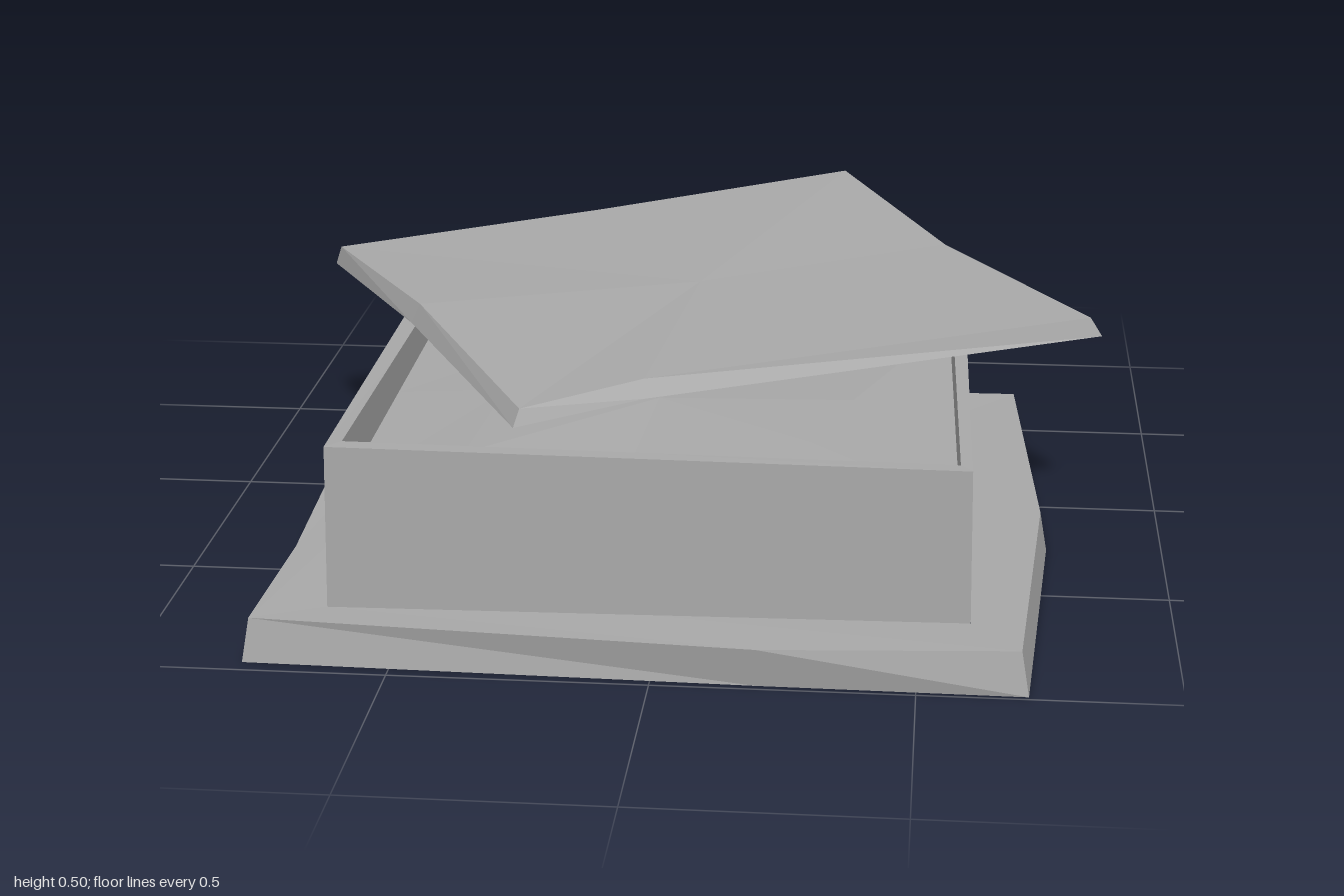
import * as THREE from 'three';

// Rings are lists of [x, y, z], running back-left, back-right, front-right, front-left.
function toMesh(name, triangles, material) {
  const geometry = new THREE.BufferGeometry();
  geometry.setAttribute('position', new THREE.Float32BufferAttribute(triangles.flat(), 3));
  geometry.computeVertexNormals();
  const mesh = new THREE.Mesh(geometry, material);
  mesh.name = name;
  return mesh;
}

// Faces joining a ring to the next one (upwards or inwards)
function strip(a, b) {
  const out = [];
  a.forEach((p, i) => {
    const j = (i + 1) % a.length;
    out.push(p, b[i], b[j], p, b[j], a[j]);
  });
  return out;
}

// Fan from a ring to a centre point, facing up
function fan(ring, centre) {
  const out = [];
  ring.forEach((p, i) => out.push(centre, ring[(i + 1) % ring.length], p));
  return out;
}

const atHeight = (ring, y) => ring.map(([x, , z]) => [x, y, z]);

// Adds the middle of every side
const withMiddles = (ring) => ring.flatMap((p, i) => {
  const q = ring[(i + 1) % ring.length];
  return [p, p.map((v, k) => (v + q[k]) / 2)];
});

export function createModel() {
  const stone = new THREE.MeshStandardMaterial({ color: 0xa8a8a8, flatShading: true, side: THREE.DoubleSide });
  stone.name = 'grey stone';
  const group = new THREE.Group();
  group.name = 'stoneChest';

  // Box walls, slightly uneven along the rim
  const outerTop = withMiddles([[-0.65, 0.38, -0.36], [0.575, 0.40, -0.37], [0.595, 0.388, 0.84], [-0.63, 0.408, 0.87]]);
  const innerTop = withMiddles([[-0.61, 0.38, -0.325], [0.545, 0.40, -0.335], [0.572, 0.388, 0.808], [-0.602, 0.408, 0.835]]);
  const outerBottom = atHeight(outerTop, 0.07).map(([x, y, z]) => [x * 1.008, y, z * 1.008]);
  const innerBottom = atHeight(innerTop, 0.07);
  group.add(toMesh('boxWalls', [
    ...strip(outerBottom, outerTop),
    ...strip(outerTop, innerTop),
    ...strip(innerTop, innerBottom),
    ...strip(innerBottom, outerBottom),
  ], stone));

  // Hollow plinth with bowed sides around the foot of the box
  const plinthBottom = [
    [-0.83, 0, -0.44], [-0.1, 0, -0.52], [0.71, 0, -0.53], [0.76, 0, 0.25],
    [0.71, 0, 0.99], [0.2, 0, 0.985], [-0.785, 0, 0.965], [-0.79, 0, 0.57],
  ];
  const plinthTop = [
    [-0.805, 0.086, -0.425], [-0.1, 0.084, -0.5], [0.7, 0.086, -0.51], [0.745, 0.084, 0.25],
    [0.695, 0.086, 0.975], [0.2, 0.08, 1.0], [-0.772, 0.086, 0.95], [-0.765, 0.082, 0.57],
  ];
  group.add(toMesh('plinth', [
    ...strip(plinthBottom, plinthTop),
    ...strip(plinthTop, atHeight(outerBottom, 0.083)),
  ], stone));

  // Uneven filling inside the box, and the flat floor below it
  const fillEdge = atHeight(innerTop, 0.31);
  const fillMiddle = [
    [-0.35, 0.31, -0.1], [0, 0.325, -0.05], [0.3, 0.31, -0.1], [0.35, 0.32, 0.25],
    [0.28, 0.32, 0.52], [-0.08, 0.3, 0.72], [-0.4, 0.325, 0.65], [-0.38, 0.32, 0.25],
  ];
  group.add(toMesh('filling', [
    ...strip(fillEdge, fillMiddle),
    ...fan(fillMiddle, [-0.05, 0.33, 0.3]),
  ], stone));
  group.add(toMesh('boxFloor', fan(atHeight(innerTop, 0.086), [-0.02, 0.09, 0.25]), stone));

  // Warped lid, turned aside and open underneath
  const lidBottom = [
    [-0.87, 0.4, -0.385], [-0.29, 0.425, -0.685], [0.29, 0.452, -1.0], [0.555, 0.425, -0.44],
    [0.865, 0.42, 0.08], [-0.05, 0.415, 0.555], [-0.295, 0.395, 0.695], [-0.61, 0.405, 0.07],
  ];
  const lidTop = [
    [-0.855, 0.443, -0.375], [-0.285, 0.468, -0.665], [0.28, 0.495, -0.98], [0.53, 0.468, -0.43],
    [0.84, 0.46, 0.08], [-0.055, 0.45, 0.535], [-0.285, 0.428, 0.675], [-0.59, 0.448, 0.07],
  ];
  group.add(toMesh('lid', [
    ...strip(lidBottom, lidTop),
    ...fan(lidTop, [0, 0.464, -0.1]),
  ], stone));

  return group;
}
